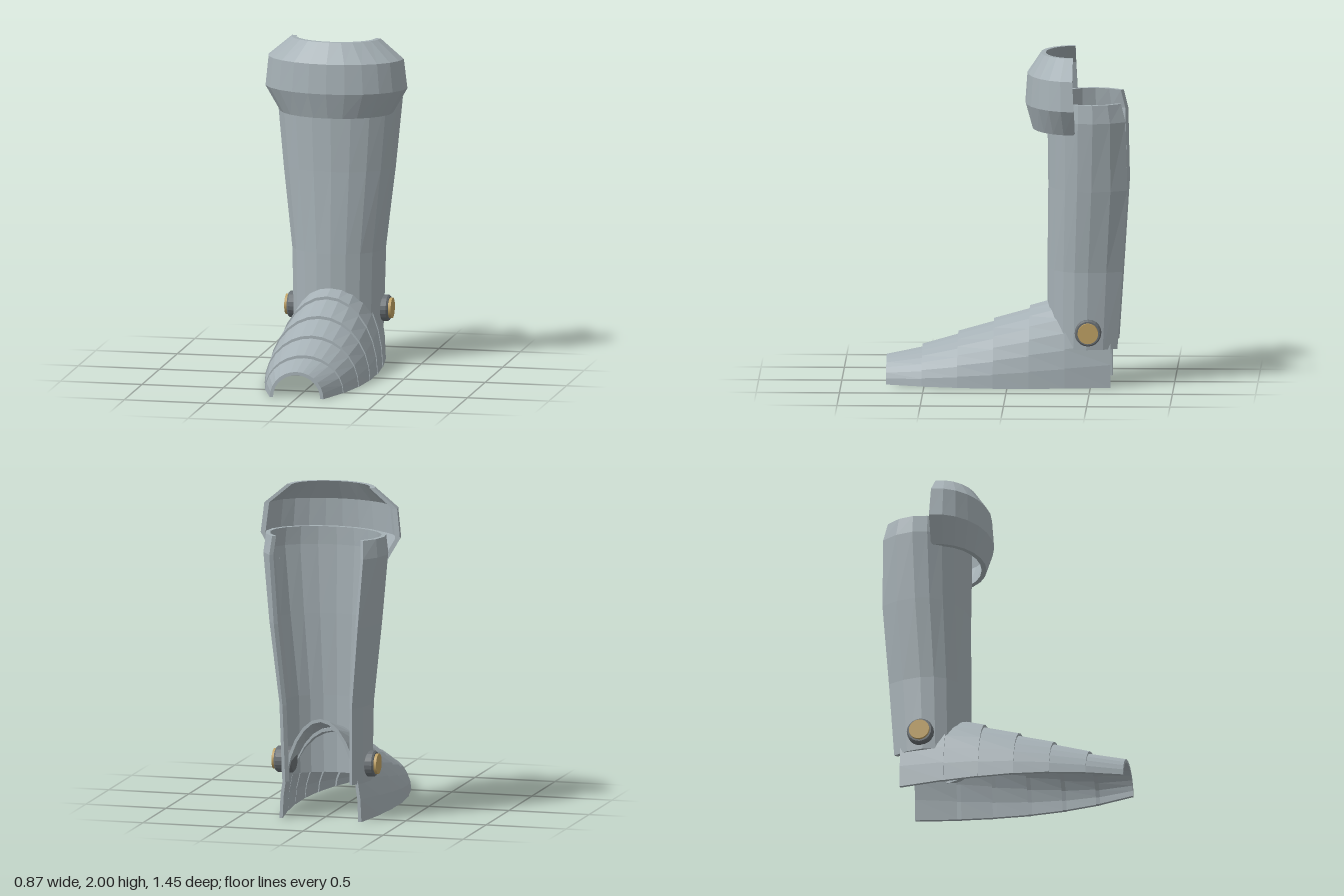
import * as THREE from 'three';

const steel = new THREE.MeshStandardMaterial({ color: 0xa6b1b6, flatShading: true, side: THREE.DoubleSide });
const darkSteel = new THREE.MeshStandardMaterial({ color: 0x6a7074, flatShading: true });
const brass = new THREE.MeshStandardMaterial({ color: 0xc0a264 });

// Thick open plate: point(row, angle, inset) gives a position; each row is an
// arc from -maxAngle to +maxAngle, walked along the outside and back inside.
function plate(name, rows, segs, maxAngle, thickness, point) {
  const loops = rows.map((row) => {
    const outer = [], inner = [];
    for (let j = 0; j <= segs; j++) {
      const a = maxAngle * (2 * j / segs - 1);
      outer.push(point(row, a, 0));
      inner.unshift(point(row, a, thickness));
    }
    return [...outer, ...inner];
  });
  const n = loops[0].length, pos = [];
  const quad = (a, b, c, d) => pos.push(...a, ...b, ...c, ...a, ...c, ...d);
  for (let i = 0; i < loops.length - 1; i++) {
    for (let j = 0; j < n; j++) {
      const k = (j + 1) % n;
      quad(loops[i][j], loops[i][k], loops[i + 1][k], loops[i + 1][j]);
    }
  }
  // end rims
  const first = loops[0], last = loops[loops.length - 1];
  for (let j = 0; j < segs; j++) {
    const k = n - 1 - j;
    quad(first[j], first[k], first[k - 1], first[j + 1]);
    quad(last[j], last[j + 1], last[k - 1], last[k]);
  }
  const g = new THREE.BufferGeometry();
  g.setAttribute('position', new THREE.Float32BufferAttribute(pos, 3));
  g.computeVertexNormals();
  const mesh = new THREE.Mesh(g, steel);
  mesh.name = name;
  return mesh;
}

// Upright arc: front and back halves have their own depth
const uprightArc = ([y, rx, cz, front, back], a, t) => {
  const depth = (Math.cos(a) > 0 ? front : back) - t;
  return [(rx - t) * Math.sin(a), y, cz + depth * Math.cos(a)];
};

// Arch over the foot, standing on the ground
const footArch = ([z, w, h], a, t) =>
  [(w - t) * Math.sin(a), Math.max(0, (h - t) * Math.cos(a)), z];

export function createModel() {
  const model = new THREE.Group();
  model.name = 'legArmour';

  // Shin shell, open at the back: y, half width, centre z, front depth, back depth
  const shin = [
    [0.23, 0.272, -0.46, 0.225, 0.313],
    [0.7, 0.283, -0.47, 0.235, 0.345],
    [1.2, 0.342, -0.49, 0.25, 0.362],
    [1.62, 0.383, -0.5, 0.265, 0.33],
    [1.73, 0.37, -0.5, 0.26, 0.288],
  ];
  model.add(plate('shinGuard', shin, 14, 2.27, 0.027, uprightArc));

  // Knee band
  const knee = [
    [1.545, 0.345, -0.41, 0.265, 0.265],
    [1.7, 0.435, -0.405, 0.303, 0.303],
    [1.88, 0.415, -0.396, 0.281, 0.281],
    [2.0, 0.272, -0.396, 0.201, 0.201],
  ];
  model.add(plate('kneeBand', knee, 12, Math.PI / 2, 0.03, uprightArc));

  // Overlapping foot plates, each slipping under the next
  const foot = new THREE.Group();
  foot.name = 'footPlates';
  const widths = [0.165, 0.242, 0.29, 0.313, 0.313, 0.298, 0.256];
  const heights = [0.16, 0.222, 0.302, 0.382, 0.461, 0.54, 0.618];
  for (let i = 0; i < 6; i++) {
    const z = 0.73 - 0.215 * i;
    const rows = [[z, widths[i], heights[i]]];
    if (i < 5) {
      const w = widths[i + 1] - 0.004, h = heights[i + 1] - 0.018;
      rows.push([z - 0.215, w, h], [z - 0.24, w, h]);
    } else {
      rows.push([-0.62, widths[6], heights[6]]);
    }
    foot.add(plate('footPlate' + (i + 1), rows, 14, Math.PI / 2, 0.02, footArch));
  }
  model.add(foot);

  // Ankle pivots: dark bevelled collar with a brass cap
  const collarProfile = [[0, 0.2], [0.07, 0.2], [0.08, 0.21], [0.08, 0.3], [0.072, 0.31], [0, 0.31]]
    .map(([r, h]) => new THREE.Vector2(r, h));
  for (const side of [1, -1]) {
    const pivot = new THREE.Group();
    pivot.name = side > 0 ? 'leftAnklePivot' : 'rightAnklePivot';
    const collar = new THREE.Mesh(new THREE.LatheGeometry(collarProfile, 20), darkSteel);
    collar.name = 'pivotCollar';
    const cap = new THREE.Mesh(new THREE.CylinderGeometry(0.062, 0.062, 0.03, 20), brass);
    cap.name = 'pivotCap';
    cap.position.y = 0.312;
    pivot.add(collar, cap);
    pivot.rotation.z = -side * Math.PI / 2;
    pivot.position.set(0, 0.337, -0.487);
    model.add(pivot);
  }
  return model;
}
